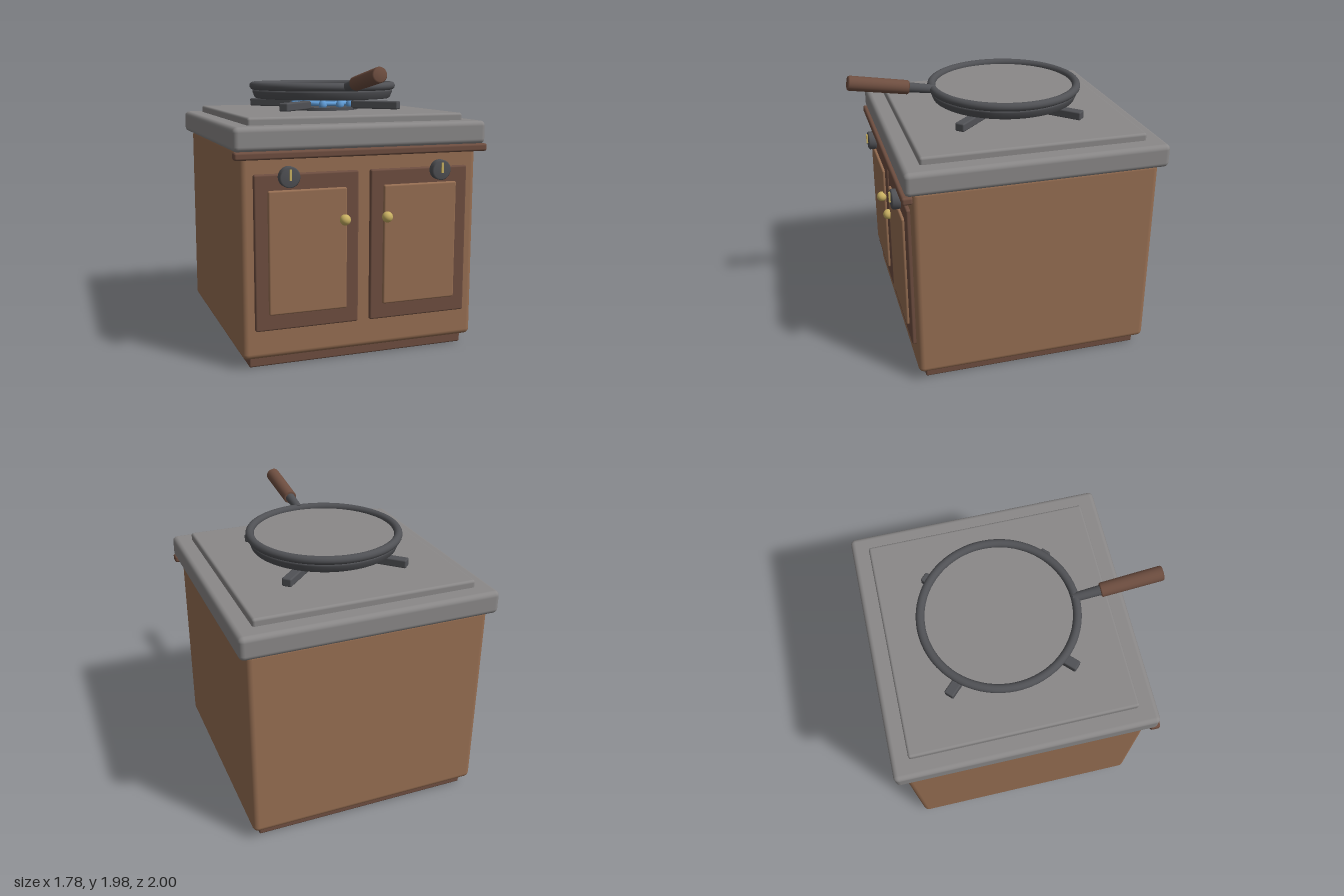
import * as THREE from 'three';
import { RoundedBoxGeometry } from 'three/addons/geometries/RoundedBoxGeometry.js';

const paint = (name, color) => {
  const m = new THREE.MeshStandardMaterial({ color });
  m.name = name;
  return m;
};

export function createModel() {
  const wood = paint('wood', 0x966e52);
  const darkWood = paint('dark wood', 0x6e4e40);
  const steel = paint('steel', 0x8a8888);
  const iron = paint('cast iron', 0x505155);
  const brass = paint('brass', 0xc8b062);
  const flameBlue = paint('flame blue', 0x62a0dc);

  const model = new THREE.Group();
  model.name = 'stove';
  const CZ = -0.11; // centre of cabinet and burner

  const add = (name, geometry, material, x = 0, y = 0, z = 0, parent = model) => {
    const mesh = new THREE.Mesh(geometry, material);
    mesh.name = name;
    mesh.position.set(x, y, z);
    parent.add(mesh);
    return mesh;
  };
  // Rounded box given by its extents
  const box = (name, mat, [x0, x1], [y0, y1], [z0, z1], r, parent = model) =>
    add(name, new RoundedBoxGeometry(x1 - x0, y1 - y0, z1 - z0, 3, r), mat,
      (x0 + x1) / 2, (y0 + y1) / 2, (z0 + z1) / 2, parent);

  // Cabinet and worktop
  box('plinth', darkWood, [-0.785, 0.785], [0, 0.12], [-0.89, 0.675], 0.012);
  box('cabinet', wood, [-0.84, 0.84], [0.07, 1.465], [-0.95, 0.73], 0.04);
  box('worktop', steel, [-0.89, 0.89], [1.45, 1.61], [-1, 0.78], 0.035);
  box('hobPlate', steel, [-0.768, 0.768], [1.58, 1.66], [-0.878, 0.658], 0.018);
  box('frontTrim', darkWood, [-0.89, 0.89], [1.403, 1.455], [0.73, 0.8], 0.015);

  // Doors, door knobs and burner dials
  for (const s of [-1, 1]) {
    const door = new THREE.Group();
    door.name = s > 0 ? 'leftDoor' : 'rightDoor';
    model.add(door);
    const span = (a, b) => (s > 0 ? [a, b] : [-b, -a]);
    box('doorFrame', darkWood, span(0.043, 0.758), [0.27, 1.305], [0.7, 0.757], 0.012, door);
    box('doorPanel', wood, span(0.132, 0.67), [0.378, 1.2], [0.73, 0.777], 0.012, door);
    add('doorKnob', new THREE.SphereGeometry(0.037, 24, 16), brass, s * 0.151, 0.985, 0.788, door);

    const dialProfile = [[0, -0.03], [0.06, -0.03], [0.069, -0.021], [0.069, 0.021], [0.06, 0.03], [0, 0.03]]
      .map(([r, y]) => new THREE.Vector2(r, y));
    add('dial', new THREE.LatheGeometry(dialProfile, 32), iron, s * 0.535, 1.288, 0.789)
      .rotation.x = Math.PI / 2;
    add('dialPointer', new THREE.BoxGeometry(0.014, 0.072, 0.014), brass, s * 0.535, 1.305, 0.824);
  }

  // Burner with a ring of flames
  const burner = new THREE.Group();
  burner.name = 'burner';
  burner.position.z = CZ;
  model.add(burner);
  add('burnerBase', new THREE.CylinderGeometry(0.265, 0.265, 0.035, 40), iron, 0, 1.665, 0, burner);
  add('flameRing', new THREE.TorusGeometry(0.17, 0.018, 10, 40), flameBlue, 0, 1.706, 0, burner)
    .rotation.x = Math.PI / 2;
  const flameProfile = [[0, -0.04], [0.024, -0.034], [0.031, -0.012], [0.025, 0.012], [0.012, 0.034], [0, 0.05]]
    .map(([r, y]) => new THREE.Vector2(r, y));
  const flameGeometry = new THREE.LatheGeometry(flameProfile, 12);
  for (let i = 0; i < 10; i++) {
    const a = (i / 10) * Math.PI * 2;
    add('flame', flameGeometry, flameBlue, 0.215 * Math.cos(a), 1.71, 0.215 * Math.sin(a), burner);
  }

  // Diagonal pan supports
  for (let i = 0; i < 4; i++) {
    const arm = new THREE.Group();
    arm.name = 'panSupport';
    arm.rotation.y = Math.PI / 4 + (i * Math.PI) / 2;
    burner.add(arm);
    box('supportBar', iron, [0.25, 0.613], [1.672, 1.73], [-0.034, 0.034], 0.01, arm);
  }

  // Pan: tapered body, inner floor and rolled rim
  const pan = new THREE.Group();
  pan.name = 'pan';
  pan.position.z = CZ;
  model.add(pan);
  const panProfile = [[0, 1.745], [0.495, 1.745], [0.507, 1.752], [0.524, 1.795], [0.52, 1.807], [0.5, 1.82], [0, 1.82]]
    .map(([r, y]) => new THREE.Vector2(r, y));
  add('panBody', new THREE.LatheGeometry(panProfile, 64), iron, 0, 0, 0, pan);
  add('panFloor', new THREE.CylinderGeometry(0.5, 0.5, 0.02, 64), steel, 0, 1.822, 0, pan);
  const rim = add('panRim', new THREE.TorusGeometry(0.515, 0.029, 14, 72), iron, 0, 1.836, 0, pan);
  rim.rotation.x = Math.PI / 2;

  // Sloping handle, its long axis turned towards the front
  const handle = new THREE.Group();
  handle.name = 'panHandle';
  handle.position.set(0, 1.865, 0.575);
  handle.rotation.x = Math.PI / 2 - 0.158;
  model.add(handle);
  add('handleShaft', new THREE.CylinderGeometry(0.035, 0.03, 0.2, 20), iron, 0, -0.085, 0, handle);
  const gripProfile = [[0, 0], [0.042, 0], [0.049, 0.008], [0.051, 0.41], [0.044, 0.422], [0, 0.422]]
    .map(([r, y]) => new THREE.Vector2(r, y));
  add('handleGrip', new THREE.LatheGeometry(gripProfile, 24), darkWood, 0, 0, 0, handle);

  return model;
}
